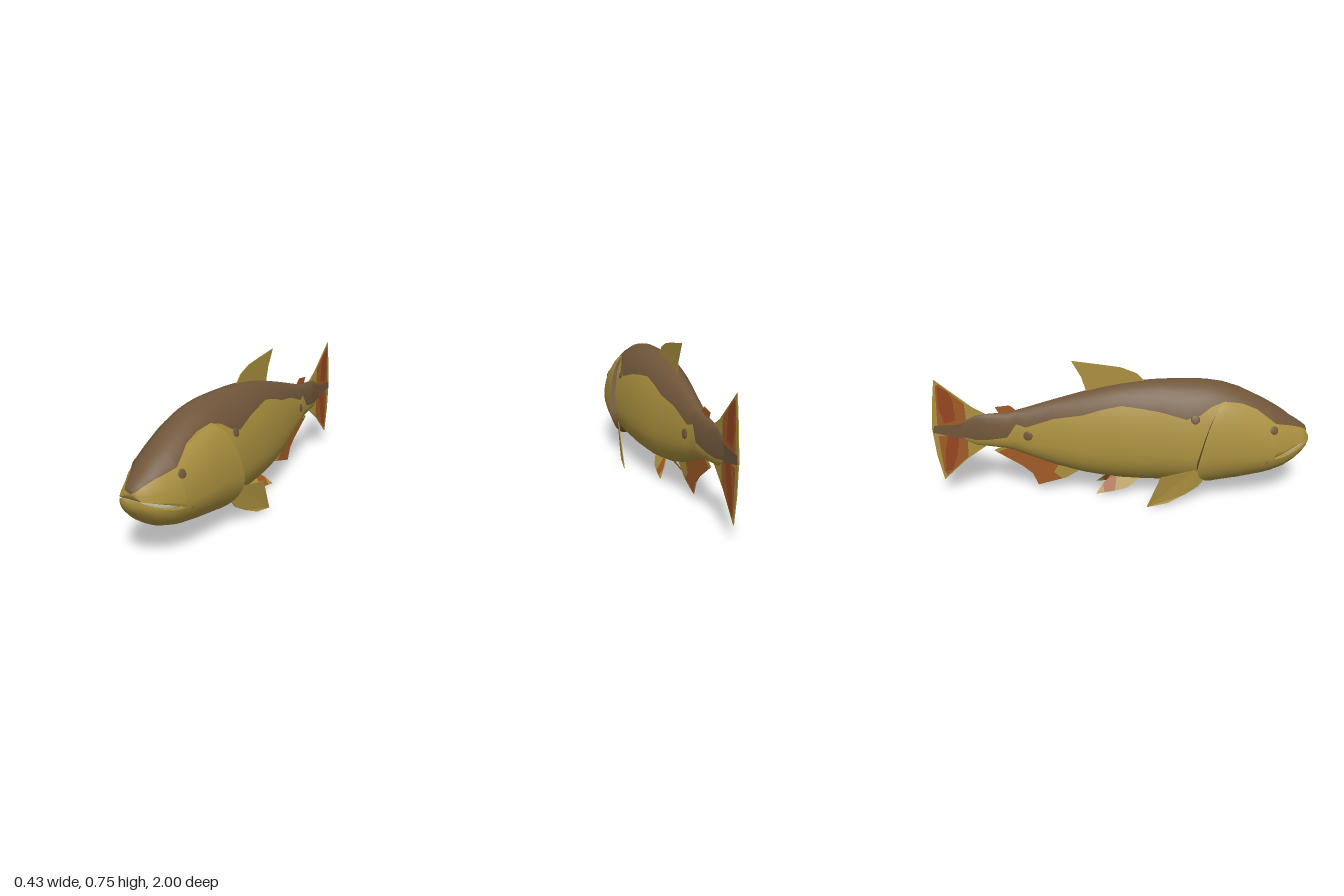
import * as THREE from 'three';

const mat = (name, color) => {
  const m = new THREE.MeshStandardMaterial({ color, side: THREE.DoubleSide });
  m.name = name;
  return m;
};

// body stations from nose to tail: z, top, bottom, half width, lower edge of the dark back
const ROWS = [
  [1.0, 0.36, 0.285, 0.035, 0.35], [0.985, 0.375, 0.262, 0.06, 0.365],
  [0.96, 0.395, 0.232, 0.083, 0.38], [0.93, 0.415, 0.203, 0.1, 0.392], [0.9, 0.433, 0.182, 0.117, 0.403],
  [0.86, 0.465, 0.158, 0.138, 0.417], [0.8, 0.503, 0.135, 0.157, 0.433], [0.75, 0.532, 0.122, 0.166, 0.472],
  [0.7, 0.557, 0.114, 0.172, 0.51], [0.62, 0.597, 0.102, 0.18, 0.545], [0.53, 0.627, 0.094, 0.183, 0.56],
  [0.46, 0.639, 0.088, 0.184, 0.54], [0.4, 0.644, 0.085, 0.184, 0.5], [0.33, 0.646, 0.084, 0.181, 0.48],
  [0.2, 0.644, 0.085, 0.174, 0.515], [0.1, 0.638, 0.089, 0.167, 0.53], [0, 0.625, 0.095, 0.156, 0.54],
  [-0.1, 0.606, 0.108, 0.141, 0.518], [-0.2, 0.581, 0.126, 0.122, 0.485], [-0.35, 0.54, 0.168, 0.09, 0.458],
  [-0.5, 0.496, 0.226, 0.062, 0.405], [-0.55, 0.482, 0.247, 0.054, 0.42], [-0.6, 0.471, 0.265, 0.046, 0.345],
  [-0.7, 0.463, 0.277, 0.03, 0.325], [-0.77, 0.455, 0.285, 0.018, 0.32], [-0.86, 0.41, 0.33, 0.002, 0.335],
];

function station(z) {
  let i = 0;
  while (i < ROWS.length - 2 && z < ROWS[i + 1][0]) i++;
  const a = ROWS[i], b = ROWS[i + 1];
  const t = THREE.MathUtils.clamp((a[0] - z) / (a[0] - b[0]), 0, 1);
  const [, top, bot, w, edge] = a.map((v, k) => v + (b[k] - v) * t);
  const mid = bot + 0.36 * (top - bot);
  const angleAt = (y) => Math.acos(THREE.MathUtils.clamp(-(y - mid) / (y > mid ? top - mid : mid - bot), -1, 1));
  // angle 0 is the belly, PI the ridge
  const at = (a) => [w * Math.sin(a), mid - Math.cos(a) * (a > Math.PI / 2 ? top - mid : mid - bot)];
  return { at, angleAt, edge: angleAt(edge) };
}

// surface grid with material groups; wrap joins the last column to the first
function grid(nu, nv, fn, wrap = false, group = () => 0) {
  const pos = [], lists = [[], []], cols = wrap ? nv : nv + 1;
  for (let i = 0; i <= nu; i++) for (let j = 0; j < cols; j++) pos.push(...fn(i, j));
  for (let i = 0; i < nu; i++) for (let j = 0; j < nv; j++) {
    const k = (j + 1) % cols;
    const a = i * cols + j, b = a + cols, c = (i + 1) * cols + k, d = i * cols + k;
    lists[group(i, j)].push(a, b, d, b, c, d);
  }
  const g = new THREE.BufferGeometry();
  g.setAttribute('position', new THREE.Float32BufferAttribute(pos, 3));
  g.setIndex([...lists[0], ...lists[1]]);
  g.addGroup(0, lists[0].length, 0);
  g.addGroup(lists[0].length, lists[1].length, 1);
  g.computeVertexNormals();
  return g;
}

// mouth edges, sloping down towards the corner
const lipY = (z) => 0.326 - (0.985 - z) * 0.36;
const gap = (z) => 0.018 * Math.sin(Math.PI * THREE.MathUtils.clamp((z - 0.79) / 0.21, 0, 1));

const LOW = 10, HIGH = 6, HALF = LOW + HIGH;
const isBack = (i, j) => (j >= LOW && j < LOW + 2 * HIGH ? 1 : 0);

// closed loft through the stations, with capped ends and heights limited by a rule
function loft(zs, limitY, widen) {
  const list = [zs[0], ...zs, zs[zs.length - 1]];
  return grid(list.length - 1, HALF * 2, (i, j) => {
    const z = list[i], s = station(z), k = j <= HALF ? j : HALF * 2 - j;
    const angle = k <= LOW ? s.edge * k / LOW : s.edge + (Math.PI - s.edge) * (k - LOW) / HIGH;
    let [x, y] = s.at(angle);
    y = limitY(y, z);
    if (i === 0 || i === list.length - 1) {
      x = 0;
      y = (limitY(s.at(0)[1], z) + limitY(s.at(Math.PI)[1], z)) / 2;
    }
    return [x * widen * (j <= HALF ? 1 : -1), y, z];
  }, true, isBack);
}

export function createModel() {
  const gold = mat('gold', 0xa98f3e), brown = mat('darkBack', 0x70563a), orange = mat('orangeFin', 0xa05a26);
  const rust = mat('rustFin', 0x944620), pale = mat('paleTeeth', 0xc9c0a0);
  const model = new THREE.Group();
  const add = (name, geo, m) => {
    const mesh = new THREE.Mesh(geo, m);
    mesh.name = name;
    model.add(mesh);
    return mesh;
  };

  // body with upper jaw
  const zs = ROWS.slice(1).map((r) => r[0]);
  zs.splice(zs.indexOf(0.75), 0, 0.789);
  add('body', loft(zs, (y, z) => (z > 0.79 ? Math.max(y, lipY(z)) : y), 1), [gold, brown]);

  // lower jaw and teeth
  add('lowerJaw', loft([1.0, 0.985, 0.96, 0.93, 0.9, 0.86, 0.82, 0.78, 0.75],
    (y, z) => Math.min(y, lipY(z) - gap(z)) - 0.001, 1.012), [gold, gold]);
  add('teeth', loft([0.965, 0.94, 0.9, 0.86, 0.82],
    (y, z) => THREE.MathUtils.clamp(y, lipY(z) - gap(z) - 0.003, lipY(z) + 0.003), 0.9), [pale, pale]);

  // gill covers: flared shells with a dark rear rim
  const NU = 14, NV = 16;
  const cover = (i, j, lift) => {
    const v = j / NV, s = i / NU;
    const end = 0.39 + 0.13 * (2 * v - 1) ** 2;
    const z = 0.8 + (end - 0.8) * s;
    const st = station(z), angle = 0.4 + (Math.min(st.edge, 2.5) - 0.4) * v;
    const e = lift * (0.002 + 0.03 * s ** 1.6 * Math.sqrt(Math.sin(Math.PI * v) + 1e-6));
    const [x, y] = st.at(angle);
    return [x + e * Math.sin(angle), y - e * Math.cos(angle), z];
  };
  const coverGeo = grid(NU, NV, (i, j) => cover(i, j, 1));
  const rimGeo = grid(1, NV, (i, j) => cover(NU, j, i ? -0.2 : 1));
  for (const side of [1, -1]) {
    const name = side > 0 ? 'left' : 'right';
    add(name + 'GillCover', coverGeo, gold).scale.x = side;
    add(name + 'GillRim', rimGeo, brown).scale.x = side;
    // eye and dark flank spots
    for (const [part, z, y, r, out] of [['Eye', 0.79, 0.405, 0.022, 0.003], ['TailSpot', -0.49, 0.36, 0.025, 0],
      ['ShoulderSpot', 0.375, 0.48, 0.024, 0]]) {
      const st = station(z), a = st.angleAt(y), [x, yy] = st.at(a);
      const spot = add(name + part, new THREE.SphereGeometry(r, 14, 10), brown);
      spot.position.set(side * (x + out), yy, z);
      spot.lookAt(side * (x + Math.sin(a)), yy - Math.cos(a) * 0.6, z + (z > 0.7 ? 0.25 : z < 0 ? -0.2 : 0));
      spot.scale.z = 0.2;
    }
  }

  // thin fin from a side outline of [z, y]; xAt bends it sideways
  function fin(name, pts, m, thick = 0.004, xAt = () => 0) {
    const shape = new THREE.Shape(pts.map(([z, y]) => new THREE.Vector2(z, y)));
    const g = new THREE.ExtrudeGeometry(shape, { depth: thick, bevelEnabled: false });
    g.translate(0, 0, -thick / 2).rotateY(-Math.PI / 2);
    const p = g.attributes.position;
    for (let i = 0; i < p.count; i++) p.setX(i, p.getX(i) + xAt(p.getZ(i), p.getY(i)));
    g.computeVertexNormals();
    return add(name, g, m);
  }

  fin('dorsalFin', [[0.13, 0.63], [0.08, 0.68], [0, 0.712], [-0.1, 0.728], [-0.255, 0.75], [-0.205, 0.66],
    [-0.175, 0.56], [0, 0.6]], gold);
  fin('adiposeFin', [[-0.54, 0.47], [-0.585, 0.508], [-0.66, 0.5], [-0.635, 0.45]], orange);

  // anal fin
  fin('analFin', [[-0.2, 0.14], [-0.3, 0.08], [-0.45, 0.04], [-0.48, 0.11], [-0.53, 0.155], [-0.61, 0.205],
    [-0.68, 0.25], [-0.6, 0.29], [-0.4, 0.22]], gold);
  fin('analFinPatch', [[-0.34, 0.16], [-0.365, 0.115], [-0.32, 0.075], [-0.45, 0.041], [-0.48, 0.11],
    [-0.53, 0.155], [-0.61, 0.206], [-0.66, 0.24], [-0.58, 0.275], [-0.4, 0.21]], orange, 0.006);

  // tail fin: gold sheet, orange bands with rust centres, dark middle stripe
  fin('tailFin', [[-0.71, 0.46], [-0.78, 0.5], [-0.965, 0.655], [-0.985, 0.52], [-0.998, 0.38], [-0.985, 0.22],
    [-0.957, 0.08], [-0.83, 0.2], [-0.71, 0.285]], gold);
  fin('upperTailBand', [[-0.815, 0.4], [-0.82, 0.52], [-0.945, 0.632], [-0.96, 0.62], [-0.968, 0.4]], orange, 0.006);
  fin('lowerTailBand', [[-0.815, 0.34], [-0.82, 0.215], [-0.94, 0.105], [-0.955, 0.13], [-0.968, 0.34]], orange, 0.006);
  fin('upperTailPatch', [[-0.87, 0.43], [-0.88, 0.55], [-0.9, 0.59], [-0.95, 0.62], [-0.955, 0.5], [-0.93, 0.41]], rust, 0.008);
  fin('lowerTailPatch', [[-0.86, 0.33], [-0.88, 0.22], [-0.91, 0.14], [-0.945, 0.13], [-0.94, 0.24], [-0.92, 0.34]], rust, 0.008);
  fin('tailStripe', [[-0.72, 0.46], [-0.78, 0.435], [-0.85, 0.405], [-0.985, 0.398], [-0.995, 0.36], [-0.9, 0.335],
    [-0.8, 0.315], [-0.72, 0.325]], brown, 0.0095);

  // paired fins
  for (const side of [1, -1]) {
    const name = side > 0 ? 'left' : 'right';
    const pelvicX = (z, y) => side * (0.025 + (0.09 - y) * 0.67);
    fin(name + 'PelvicFin', [[0.12, 0.095], [0.03, 0.042], [-0.05, 0.027], [-0.135, 0.017], [-0.1, 0.06],
      [-0.05, 0.105]], gold, 0.003, pelvicX);
    fin(name + 'PelvicFinPatch', [[-0.025, 0.095], [-0.035, 0.031], [-0.09, 0.0235], [-0.1, 0.06],
      [-0.06, 0.095]], orange, 0.005, pelvicX);
    fin(name + 'PectoralFin', [[0.44, 0.15], [0.4, 0.1], [0.33, 0.06], [0.24, 0.02], [0.13, 0.002], [0.2, 0.178],
      [0.38, 0.2]], gold, 0.004, (z, y) => side * (0.205 - Math.max(0, z - 0.19) * 0.2 + (y - 0.1) * 0.04));
  }
  return model;
}
